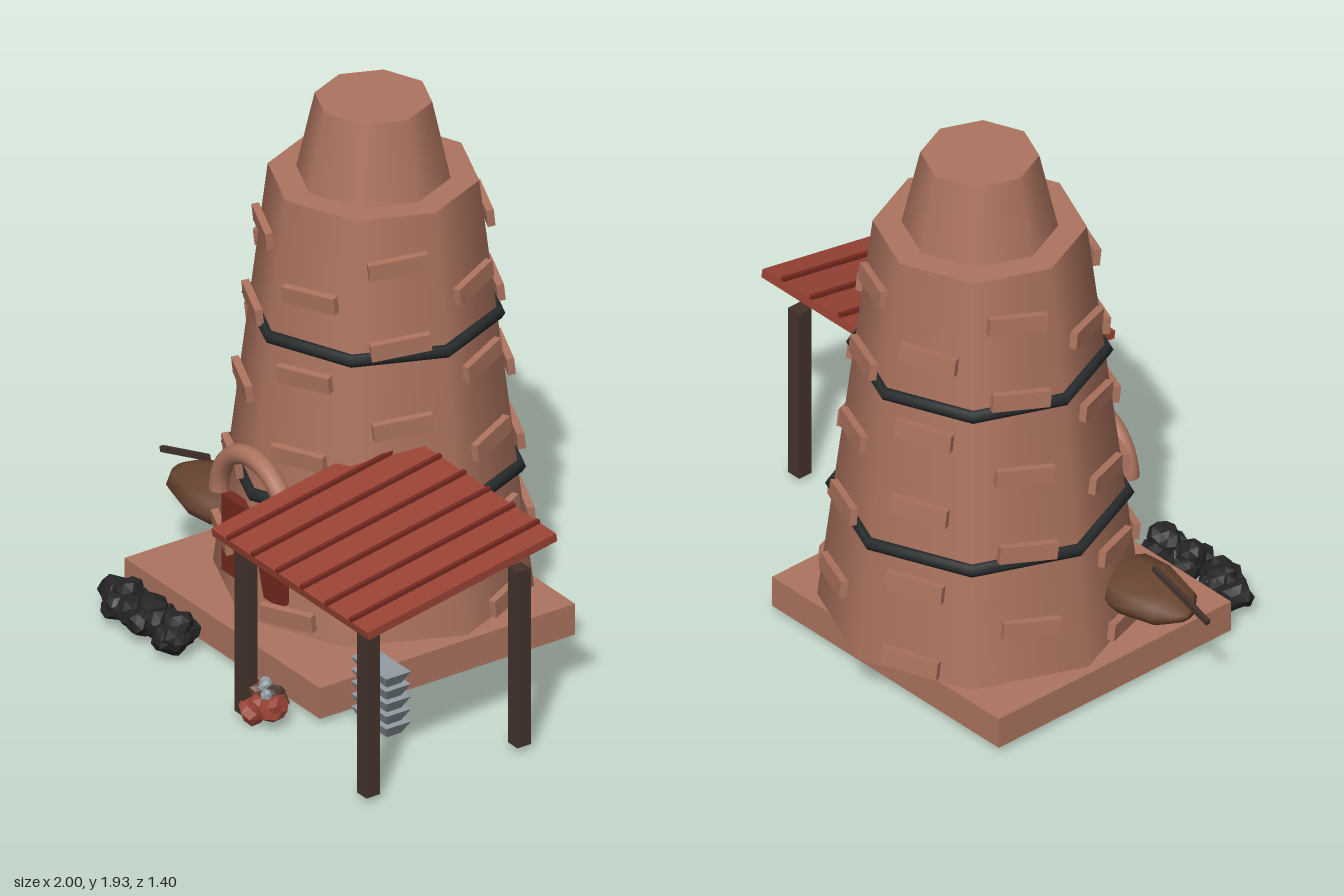
import * as THREE from 'three';

const material = (name, color) => {
  const m = new THREE.MeshStandardMaterial({ color });
  m.name = name;
  return m;
};

export function createModel() {
  const clay = material('clay', 0xad745f);
  const iron = material('iron', 0x272b2c);
  const roofRed = material('roofRed', 0x994334);
  const darkRed = material('darkRed', 0x74291f);
  const wood = material('wood', 0x44322a);
  const leather = material('leather', 0x684430);
  const silver = material('silver', 0x929ca3);
  const coal = material('coal', 0x252525);

  const model = new THREE.Group();
  const CX = -0.175, CZ = -0.156;

  const add = (name, geo, mat, x, y, z, parent = model) => {
    const mesh = new THREE.Mesh(geo, mat);
    mesh.name = name;
    mesh.position.set(x, y, z);
    parent.add(mesh);
    return mesh;
  };
  const group = (name) => {
    const g = new THREE.Group();
    g.name = name;
    model.add(g);
    return g;
  };
  const box = (w, h, d) => new THREE.BoxGeometry(w, h, d);

  // Base slab, tapered octagonal furnace and chimney
  add('baseSlab', box(1.125, 0.115, 1.035), clay, -0.178, 0.0875, -0.0625);
  add('furnaceBody', new THREE.CylinderGeometry(0.356, 0.54, 1.505, 8), clay, CX, 0.9025, CZ);
  add('chimney', new THREE.CylinderGeometry(0.198, 0.26, 0.28, 8), clay, CX, 1.795, CZ);
  const radiusAt = (y) => 0.54 - 0.184 * (y - 0.15) / 1.505;

  // Iron bands
  for (const y of [0.595, 1.165]) {
    const band = new THREE.TorusGeometry(radiusAt(y) + 0.005, 0.023, 6, 8).rotateX(Math.PI / 2);
    add('ironBand', band, iron, CX, y, CZ);
  }

  // Raised bricks: four per row, staggered between faces
  const bricks = group('raisedBricks');
  const brickGeo = box(0.205, 0.062, 0.026);
  for (let row = 0; row < 10; row++) {
    const y = 0.22 + 0.1415 * row;
    const r = radiusAt(y);
    for (let k = 0; k < 4; k++) {
      const a = (row % 2 ? -1 : 1) * Math.PI / 8 + k * Math.PI / 2;
      const brick = add('brick', brickGeo, clay, CX + Math.sin(a) * r, y, CZ + Math.cos(a) * r, bricks);
      brick.rotation.set(0.12, a, 0);
    }
  }

  // Furnace mouth and arch
  add('furnaceMouth', box(0.332, 0.285, 0.04), darkRed, -0.176, 0.383, 0.322);
  add('mouthArch', new THREE.TorusGeometry(0.2, 0.035, 10, 20, Math.PI), clay, -0.178, 0.525, 0.328);

  // Sloping lean-to roof with seams
  const roof = group('leanToRoof');
  roof.position.set(0.55, 0.75, 0.311);
  roof.rotation.x = 0.18;
  add('roofSheet', box(0.9, 0.03, 0.777), roofRed, 0, 0, 0, roof);
  for (let i = 0; i < 6; i++) {
    add('roofSeam', box(0.015, 0.015, 0.777), darkRed, -0.353 + i * 0.1412, 0.021, 0, roof);
  }

  // Roof posts
  for (const [x, z, top] of [[0.2, 0.625, 0.672], [0.904, 0.625, 0.672], [0.904, 0.012, 0.69]]) {
    add('roofPost', box(0.055, top - 0.03, 0.055), wood, x, (top + 0.03) / 2, z);
  }

  // Stack of ingots, each narrower at the bottom
  const ingots = group('ingotStack');
  const ingotGeo = box(0.204, 0.047, 0.1);
  const ip = ingotGeo.attributes.position;
  for (let i = 0; i < ip.count; i++) {
    if (ip.getY(i) < 0) {
      ip.setX(i, ip.getX(i) * 0.74);
      ip.setZ(i, ip.getZ(i) * 0.58);
    }
  }
  ingotGeo.computeVertexNormals();
  for (let i = 0; i < 5; i++) {
    add('ingot', ingotGeo, silver, 0.552, 0.06 + i * 0.0468, 0.326, ingots);
  }

  // Rough faceted lump: vertices pushed in or out by a position hash
  const lump = (r, seed) => {
    const g = new THREE.IcosahedronGeometry(r, 1);
    const p = g.attributes.position;
    const v = new THREE.Vector3();
    for (let i = 0; i < p.count; i++) {
      v.fromBufferAttribute(p, i);
      const q = (n) => Math.round(n / r * 100);
      const h = Math.sin(q(v.x) * 12.99 + q(v.y) * 78.23 + q(v.z) * 37.72 + seed * 5.17) * 43758.5;
      v.multiplyScalar(0.8 + 0.4 * (h - Math.floor(h)));
      p.setXYZ(i, v.x, v.y, v.z);
    }
    g.computeVertexNormals();
    return g;
  };

  // Coal heap
  const coalHeap = group('coalHeap');
  for (let i = 0; i < 4; i++) {
    add('coalLump', lump(0.058, i), coal, -0.65 + i * 0.124, 0.085, 0.565 + (i % 2 ? 0.02 : -0.01), coalHeap);
  }
  for (let i = 0; i < 3; i++) {
    const x = -0.57 + i * 0.14;
    add('coalLump', lump(0.056, i + 9), coal, x, 0.12, 0.56, coalHeap);
    add('coalLump', lump(0.05, i + 20), coal, x, 0.085, 0.605, coalHeap);
    add('coalLump', lump(0.05, i + 30), coal, x, 0.085, 0.53, coalHeap);
  }

  // Ore heap
  const oreHeap = group('oreHeap');
  const ores = [
    [0.19, 0.08, 0.59, 0.05, roofRed], [0.25, 0.062, 0.62, 0.052, roofRed],
    [0.305, 0.08, 0.59, 0.05, roofRed], [0.25, 0.075, 0.545, 0.048, leather],
    [0.23, 0.11, 0.59, 0.042, leather], [0.285, 0.115, 0.57, 0.035, wood],
    [0.255, 0.14, 0.585, 0.026, silver], [0.29, 0.125, 0.605, 0.02, silver]
  ];
  ores.forEach(([x, y, z, r, m], i) => add('oreLump', lump(r, i + 50), m, x, y, z, oreHeap));

  // Bellows: flattened lathe lying along x, with its lever
  const profile = [[0, -0.2], [0.042, -0.187], [0.105, -0.125], [0.142, 0.02], [0.13, 0.13], [0.07, 0.185], [0, 0.19]]
    .map(([r, y]) => new THREE.Vector2(r, y));
  const bellowsGeo = new THREE.LatheGeometry(profile, 10).rotateZ(-Math.PI / 2);
  const bellows = add('bellows', bellowsGeo, leather, -0.7, 0.315, 0.123);
  bellows.scale.y = 0.52;
  const lever = add('bellowsLever', box(0.282, 0.02, 0.016), wood, -0.863, 0.384, 0.123);
  lever.rotation.z = 0.3;

  return model;
}
